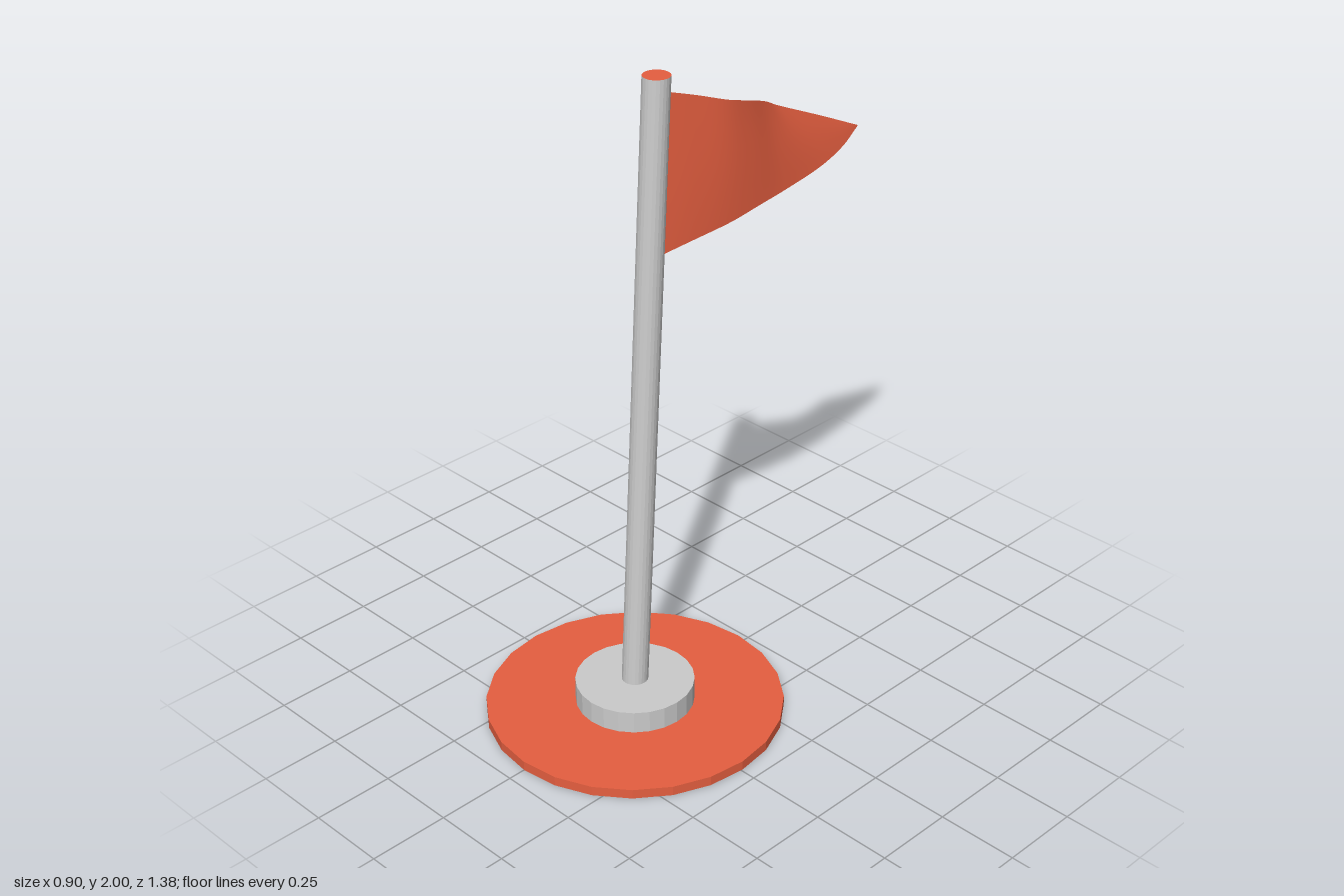
import * as THREE from 'three';

const BASE_Z = 0.245; // centre of the base
const TOP_Z = 0.135;  // centre of the leaning pole's top

const grey = new THREE.MeshStandardMaterial({ color: 0xcccccc, flatShading: true });
const red = new THREE.MeshStandardMaterial({ color: 0xe65f40, flatShading: true });
const cloth = new THREE.MeshStandardMaterial({ color: 0xe65f40, side: THREE.DoubleSide });

// Upright 24-sided cylinder between two heights; materials are [side, top, bottom]
function cylinder(name, radius, y0, y1, materials) {
  const geometry = new THREE.CylinderGeometry(radius, radius, y1 - y0, 24);
  geometry.translate(0, (y0 + y1) / 2, BASE_Z);
  const mesh = new THREE.Mesh(geometry, materials);
  mesh.name = name;
  return mesh;
}

function curve(points) {
  return new THREE.CatmullRomCurve3(points.map(p => new THREE.Vector3(...p)));
}

// Waving pennant: a sheet stretched between its top and bottom edges
function createFlag() {
  const topEdge = curve([
    [0, 1.95, 0.12], [0.033, 1.92, 0.02], [0.058, 1.885, -0.08], [0.05, 1.855, -0.17],
    [0.02, 1.815, -0.27], [0, 1.778, -0.34], [-0.004, 1.695, -0.52], [0, 1.615, -0.69],
  ]);
  const bottomEdge = curve([
    [0, 1.465, 0.14], [0.03, 1.49, 0.03], [0.058, 1.515, -0.1], [0.067, 1.535, -0.2],
    [0.06, 1.545, -0.32], [0.036, 1.557, -0.5], [0.018, 1.58, -0.61], [0, 1.612, -0.69],
  ]);
  const geometry = new THREE.PlaneGeometry(1, 1, 35, 8);
  const { position, uv } = geometry.attributes;
  for (let i = 0; i < position.count; i++) {
    const u = uv.getX(i), v = uv.getY(i);
    const p = bottomEdge.getPoint(u).lerp(topEdge.getPoint(u), v);
    p.x += 0.006 * Math.sin(Math.PI * v) * Math.sin(Math.PI * u); // slight belly
    position.setXYZ(i, p.x, p.y, p.z);
  }
  geometry.computeVertexNormals();
  const mesh = new THREE.Mesh(geometry, cloth);
  mesh.name = 'flag';
  return mesh;
}

export function createModel() {
  const model = new THREE.Group();
  model.name = 'flagMarker';

  // Base plate and collar
  model.add(cylinder('basePlate', 0.45, 0, 0.03, [red, red, grey]));
  model.add(cylinder('collar', 0.18, 0.03, 0.1, grey));

  // Pole, sheared backwards so that both ends stay level
  const pole = cylinder('pole', 0.04, 0.09, 2, [grey, red, grey]);
  const position = pole.geometry.attributes.position;
  for (let i = 0; i < position.count; i++) {
    const t = (position.getY(i) - 0.09) / 1.91;
    position.setZ(i, position.getZ(i) + t * (TOP_Z - BASE_Z));
  }
  pole.geometry.computeVertexNormals();
  model.add(pole);

  model.add(createFlag());
  return model;
}
